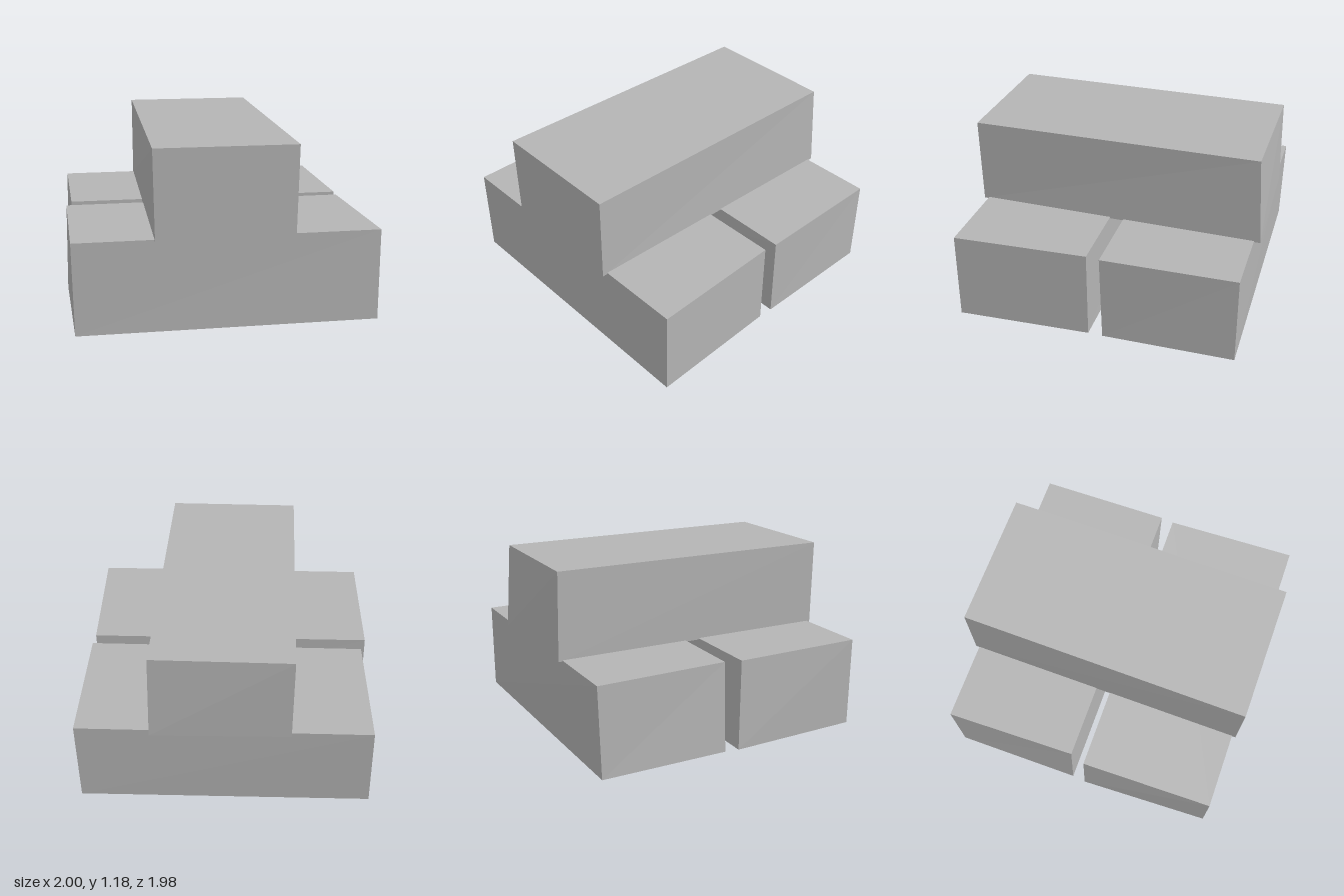
import * as THREE from 'three';

const stone = new THREE.MeshStandardMaterial({ color: 0xb4b4b4 });
stone.name = 'stoneGrey';

// A rough-cut block: a box whose corners are moved to given [x, z] points.
// Corner order for each level: back -x, back +x, front -x, front +x.
function block(name, y0, y1, bottom, top) {
  const geometry = new THREE.BoxGeometry(1, 1, 1).toNonIndexed();
  const p = geometry.attributes.position;
  for (let i = 0; i < p.count; i++) {
    const level = p.getY(i) > 0 ? top : bottom;
    const [x, z] = level[(p.getX(i) > 0 ? 1 : 0) + (p.getZ(i) > 0 ? 2 : 0)];
    p.setXYZ(i, x, p.getY(i) > 0 ? y1 : y0, z);
  }
  geometry.computeVertexNormals();
  const mesh = new THREE.Mesh(geometry, stone);
  mesh.name = name;
  return mesh;
}

export function createModel() {
  const group = new THREE.Group();
  group.name = 'stackedBlocks';

  // Two blocks lying side by side
  group.add(block('frontBlock', 0, 0.607,
    [[-1, 0.05], [0.96, 0.04], [-0.96, 0.965], [1, 0.95]],
    [[-0.99, 0.063], [0.96, 0.04], [-0.97, 0.965], [1, 0.945]]));
  group.add(block('backBlock', 0.002, 0.605,
    [[-0.995, -0.92], [0.955, -0.95], [-0.99, -0.045], [0.965, -0.06]],
    [[-0.98, -0.935], [0.955, -0.953], [-0.955, -0.04], [0.97, -0.05]]));

  // One block laid across them
  group.add(block('topBlock', 0.597, 1.185,
    [[-0.45, -0.965], [0.463, -0.99], [-0.455, 0.985], [0.435, 0.985]],
    [[-0.452, -0.955], [0.45, -0.955], [-0.465, 0.987], [0.445, 0.987]]));
  return group;
}
